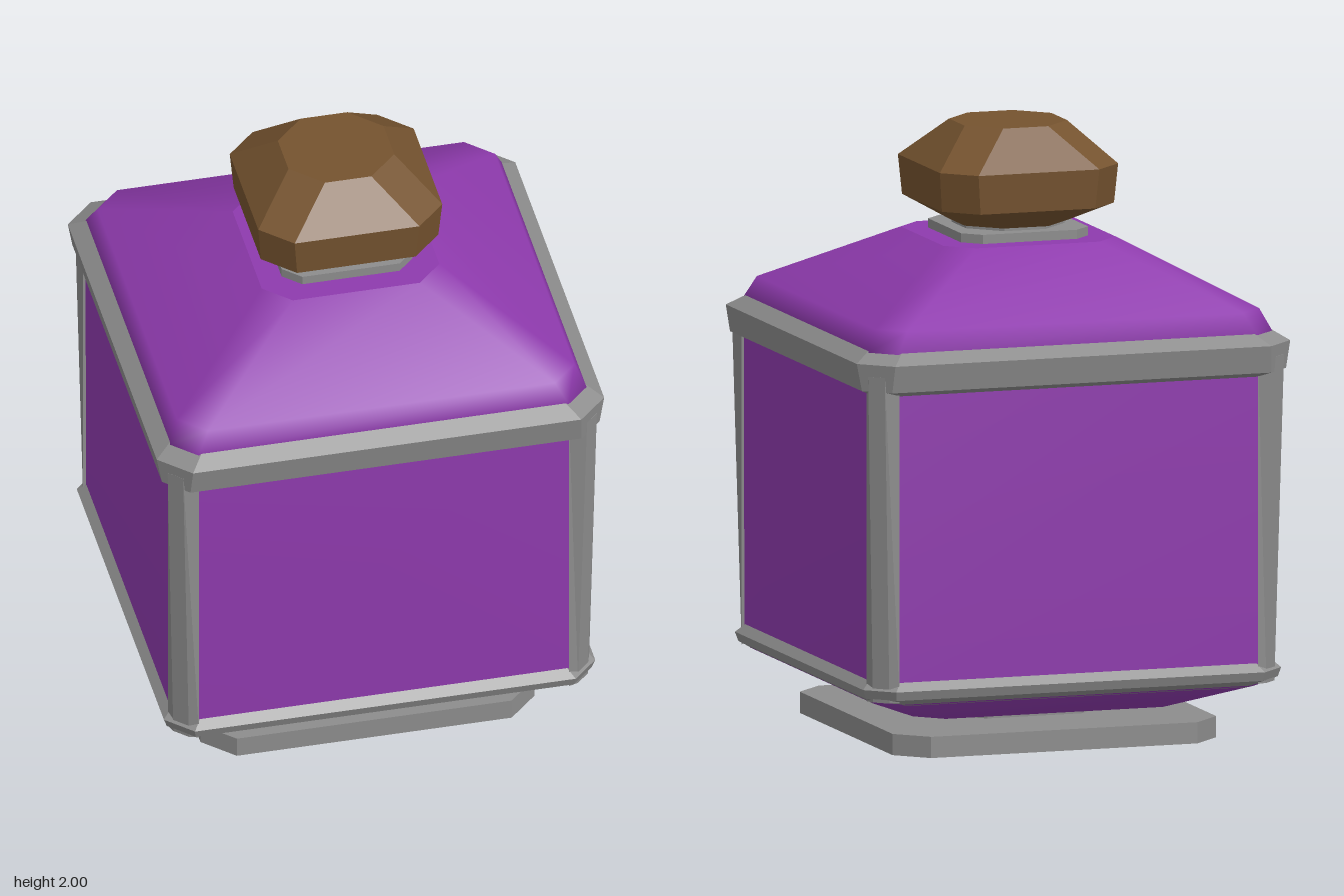
import * as THREE from 'three';

const metal = new THREE.MeshStandardMaterial({ color: 0x8c8c8c, flatShading: true, side: THREE.DoubleSide });
const glassMat = new THREE.MeshStandardMaterial({ color: 0x8e3aad });
const corkMat = new THREE.MeshStandardMaterial({ color: 0x75532f, flatShading: true });

// Diamond outline with its four corners cut off: r = reach of a corner, c = half width of the cut
function ring(r, c) {
  return [[r, -c], [r, c], [c, r], [-c, r], [-r, c], [-r, -c], [-c, -r], [c, -r]];
}

// Skin over levels [y, r, c], listed from bottom to top, with optional end caps
function loft(name, levels, material, capped = true) {
  const pos = [], idx = [], n = 8;
  const addRing = ([y, r, c]) => {
    const start = pos.length / 3;
    for (const [x, z] of ring(r, c)) pos.push(x, y, z);
    return start;
  };
  const starts = levels.map(addRing);
  for (let l = 0; l < starts.length - 1; l++) {
    for (let i = 0; i < n; i++) {
      const j = (i + 1) % n;
      const a = starts[l] + i, b = starts[l] + j;
      const d = starts[l + 1] + i, e = starts[l + 1] + j;
      idx.push(a, d, b, b, d, e);
    }
  }
  if (capped) {
    const bottom = addRing(levels[0]);
    const top = addRing(levels[levels.length - 1]);
    for (let i = 1; i < n - 1; i++) {
      idx.push(bottom, bottom + i, bottom + i + 1);
      idx.push(top, top + i + 1, top + i);
    }
  }
  const geo = new THREE.BufferGeometry();
  geo.setAttribute('position', new THREE.Float32BufferAttribute(pos, 3));
  geo.setIndex(idx);
  geo.computeVertexNormals();
  const mesh = new THREE.Mesh(geo, material);
  mesh.name = name;
  return mesh;
}

// Bevelled corner post that leans outward towards the top
function cornerPost(angle) {
  const shape = new THREE.Shape();
  [[0.935, 0.06], [0.935, -0.06], [1, -0.03], [1, 0.03]].forEach(([x, z], i) =>
    i ? shape.lineTo(x, z) : shape.moveTo(x, z));
  const geo = new THREE.ExtrudeGeometry(shape, { depth: 1.08, bevelEnabled: false });
  geo.rotateX(-Math.PI / 2);
  geo.translate(0, 0.21, 0);
  const p = geo.attributes.position;
  for (let i = 0; i < p.count; i++) {
    if (p.getX(i) > 0.97) p.setX(i, 0.95 + 0.035 * (p.getY(i) - 0.21) / 1.08);
  }
  geo.computeVertexNormals();
  const mesh = new THREE.Mesh(geo, metal);
  mesh.name = 'cornerPost';
  mesh.rotation.y = angle;
  return mesh;
}

export function createModel() {
  const model = new THREE.Group();
  model.name = 'bottle';

  // Foot
  model.add(loft('basePlate', [[0, 0.72, 0.07], [0.07, 0.72, 0.07]], metal));
  model.add(loft('baseStem', [[0.07, 0.3, 0.07], [0.115, 0.3, 0.07]], metal));

  // Glass vessel with sloping shoulders
  model.add(loft('glass', [
    [0.11, 0.59, 0.06], [0.2, 0.91, 0.05], [0.26, 0.93, 0.05],
    [1.36, 0.93, 0.055], [1.43, 0.88, 0.06], [1.63, 0.36, 0.06],
  ], glassMat));

  // Metal frame
  model.add(loft('lowerBand', [
    [0.195, 0.89, 0.055], [0.22, 0.95, 0.055], [0.25, 0.96, 0.06], [0.28, 0.92, 0.055],
  ], metal, false));
  model.add(loft('upperBand', [
    [1.22, 0.92, 0.055], [1.24, 0.98, 0.055], [1.33, 0.988, 0.07], [1.365, 0.92, 0.06],
  ], metal, false));
  for (let i = 0; i < 4; i++) model.add(cornerPost(i * Math.PI / 2));

  // Neck
  model.add(loft('collar', [[1.625, 0.27, 0.04], [1.66, 0.27, 0.04]], metal));
  model.add(loft('neck', [[1.63, 0.17, 0.07], [1.675, 0.17, 0.07]], metal));

  // Faceted stopper
  model.add(loft('stopper', [
    [1.67, 0.18, 0.07], [1.74, 0.35, 0.07], [1.87, 0.365, 0.07], [2, 0.18, 0.07],
  ], corkMat));

  return model;
}
